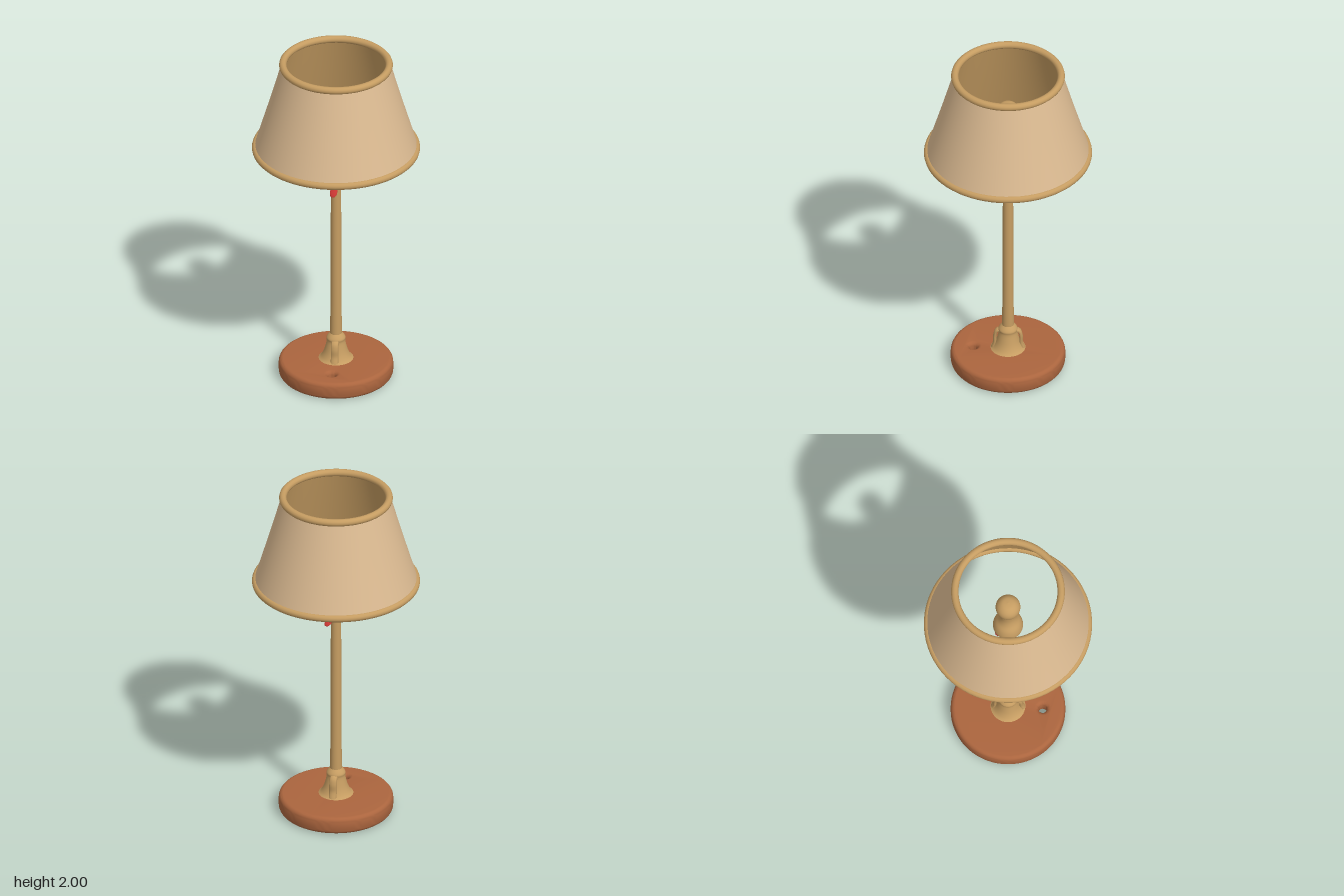
import * as THREE from 'three';
import { toCreasedNormals } from 'three/addons/utils/BufferGeometryUtils.js';

const mat = (name, color, side = THREE.FrontSide) => {
  const m = new THREE.MeshStandardMaterial({ color, side });
  m.name = name;
  return m;
};

export function createModel() {
  const group = new THREE.Group();
  const gold = mat('gold', 0xc69d62);
  const cream = mat('cream', 0xdcbb92);
  const brown = mat('brown', 0xab653e);
  const red = mat('red', 0xc93632);

  const add = (name, geometry, material, parent = group) => {
    const mesh = new THREE.Mesh(geometry, material);
    mesh.name = name;
    parent.add(mesh);
    return mesh;
  };
  const lathe = (pts, segments = 48) =>
    new THREE.LatheGeometry(pts.map(([r, y]) => new THREE.Vector2(r, y)), segments);
  const smoothLathe = (pts, samples = 24) => {
    const curve = new THREE.SplineCurve(pts.map(([r, y]) => new THREE.Vector2(r, y)));
    return new THREE.LatheGeometry(
      curve.getPoints(samples).map(p => new THREE.Vector2(Math.max(p.x, 0), p.y)), 40);
  };

  // Rounded disc base with a cord hole near the front
  const disc = new THREE.Shape().absarc(0, 0, 0.298, 0, Math.PI * 2);
  disc.holes.push(new THREE.Path().absarc(-0.004, -0.195, 0.046, 0, Math.PI * 2, true));
  const baseGeo = new THREE.ExtrudeGeometry(disc, {
    depth: 0.04, bevelThickness: 0.03, bevelSize: 0.024, bevelSegments: 5, curveSegments: 40,
  });
  baseGeo.rotateX(-Math.PI / 2).translate(0, 0.03, 0);
  add('base', toCreasedNormals(baseGeo, 0.7), brown);

  // Flared foot with a collar
  add('foot', smoothLathe([
    [0.105, 0.095], [0.085, 0.112], [0.068, 0.145], [0.056, 0.19],
    [0.052, 0.215], [0.054, 0.23], [0.046, 0.245], [0.033, 0.26],
  ]), gold);

  // Small arched straps on the front and back of the foot
  for (const s of [-1, 1]) {
    const path = new THREE.CatmullRomCurve3([
      [0.04, 0.225], [0.063, 0.215], [0.073, 0.185], [0.074, 0.14], [0.086, 0.1],
    ].map(([z, y]) => new THREE.Vector3(0, y, z * s)));
    const strap = add('footStrap', new THREE.TubeGeometry(path, 16, 0.01, 8), gold);
    strap.scale.x = 2.2;
  }

  // Post and brown neck
  add('post', lathe([[0.034, 0.22], [0.031, 0.5], [0.029, 1.28]], 32), gold);
  add('neck', lathe([[0.03, 1.24], [0.031, 1.3], [0.032, 1.39]], 32), brown);

  // Socket ball and the bulb above it
  add('socket', smoothLathe([
    [0, 1.355], [0.045, 1.366], [0.076, 1.4], [0.085, 1.44], [0.075, 1.49],
    [0.052, 1.535], [0.042, 1.58], [0.044, 1.64],
  ], 32), gold);
  add('bulb', smoothLathe([
    [0.044, 1.63], [0.058, 1.67], [0.07, 1.72], [0.062, 1.757], [0.036, 1.783], [0, 1.79],
  ]), gold);

  // Shade: cream outside, gold lining
  add('shadeOutside', lathe([[0.46, 1.45], [0.382, 1.71], [0.305, 1.98]], 64), cream);
  add('shadeLining', lathe([[0.295, 1.98], [0.372, 1.71], [0.45, 1.45]], 64), gold);

  // Rolled rims
  for (const [name, r, y, tube] of [['topRim', 0.299, 1.979, 0.021], ['bottomRim', 0.452, 1.45, 0.021]]) {
    add(name, new THREE.TorusGeometry(r, tube, 12, 72).rotateX(Math.PI / 2), gold).position.y = y;
  }

  // Flower petals around the neck: tip position, then whether the petal lies flat
  const petals = new THREE.Group();
  petals.name = 'flower';
  group.add(petals);
  for (const [x, y, z, flat] of [
    [-0.065, 1.265, -0.105, false],
    [0.1, 1.27, -0.042, false],
    [-0.115, 1.26, 0.018, false],
    [0.082, 1.275, 0.072, true],
    [-0.012, 1.165, 0.075, true],
    [0.045, 1.19, -0.07, true],
  ]) {
    const tip = new THREE.Vector3(x, y, z);
    const root = new THREE.Vector3(x * 0.15, 1.235, z * 0.15);
    const half = tip.distanceTo(root) / 2;
    const geo = new THREE.SphereGeometry(1, 16, 12);
    // Widen the petal towards its tip
    const p = geo.attributes.position;
    for (let i = 0; i < p.count; i++) {
      const k = 0.8 + 0.35 * p.getZ(i);
      p.setX(i, p.getX(i) * k);
      p.setY(i, p.getY(i) * k);
    }
    geo.scale(flat ? 0.025 : 0.008, flat ? 0.008 : 0.025, half);
    geo.computeVertexNormals();
    const petal = add('petal', geo, red, petals);
    petal.position.copy(root).lerp(tip, 0.5);
    petal.lookAt(tip);
  }

  return group;
}
